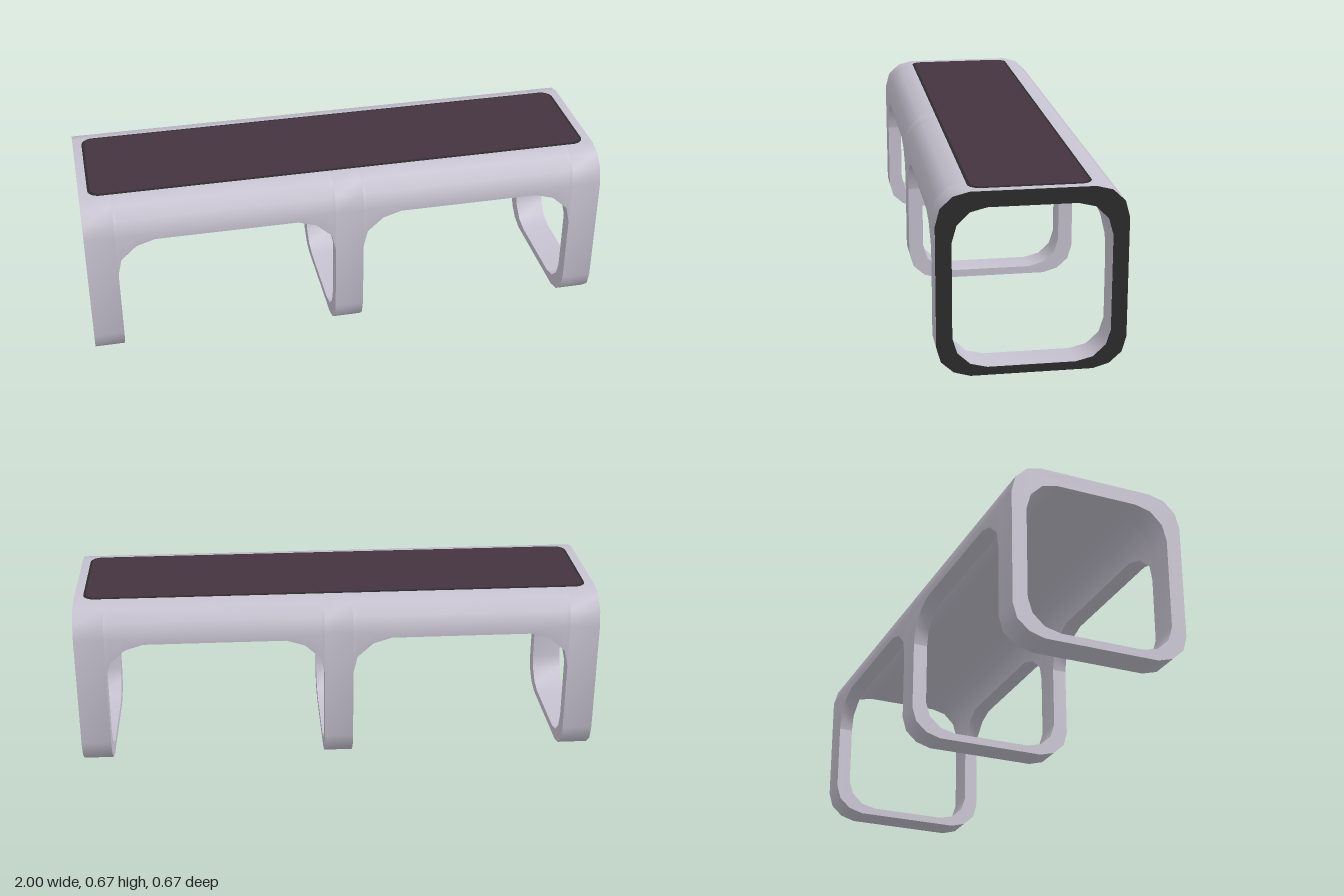
import * as THREE from 'three';
import { toCreasedNormals } from 'three/addons/utils/BufferGeometryUtils.js';

const shellMat = new THREE.MeshStandardMaterial({ color: 0xc6c2d0 });
shellMat.name = 'pale lavender';
const endMat = new THREE.MeshStandardMaterial({ color: 0x2c2c2c });
endMat.name = 'charcoal';
const seatMat = new THREE.MeshStandardMaterial({ color: 0x43343f });
seatMat.name = 'dark plum';
const CREASE = 0.62;

// Half profiles as [z, y], from the bottom up
const OUTER = [[0.215, 0], [0.273, 0.017], [0.317, 0.057], [0.333, 0.113],
  [0.333, 0.55], [0.317, 0.61], [0.273, 0.652], [0.215, 0.667]];
const INNER = [[0.155, 0.03], [0.215, 0.045], [0.26, 0.087], [0.277, 0.142],
  [0.277, 0.49], [0.26, 0.55], [0.215, 0.595], [0.155, 0.61]];
const flip = (half) => half.map(([z, y]) => [-z, y]).reverse();
const toPoints = (list) => list.map(([a, b]) => new THREE.Vector2(a, b));

function ringShape() {
  const shape = new THREE.Shape(toPoints([...OUTER, ...flip(OUTER)]));
  shape.holes.push(new THREE.Path(toPoints([...INNER, ...flip(INNER)])));
  return shape;
}

// Closed rounded frame between two x positions
function ringGeometry(x0, x1) {
  const g = new THREE.ExtrudeGeometry(ringShape(), { depth: x1 - x0, bevelEnabled: false });
  g.rotateY(Math.PI / 2).translate(x0, 0, 0);
  return toCreasedNormals(g, CREASE);
}

// Cross-section of the shell where its walls stop at height h
function sectionAt(h) {
  const innerZ = (y) => (y <= 0.49 ? 0.277 : 0.277 - (0.017 * (y - 0.49)) / 0.06);
  const knee = Math.max(0.49, h);
  const outer = [[0.333, h], ...OUTER.slice(4)];
  const inner = [[innerZ(h), h], [innerZ(knee), knee], ...INNER.slice(5)];
  const innerLoop = [...inner, ...flip(inner)].reverse();
  return [...outer, ...flip(outer), ...innerLoop];
}

// Shell over one arched opening
function spanGeometry(x0, x1) {
  const arch = [[0, 0.385], [0.015, 0.45], [0.075, 0.505], [0.145, 0.527]];
  const stations = [
    ...arch.map(([d, h]) => [x0 + d, h]),
    ...arch.map(([d, h]) => [x1 - d, h]).reverse(),
  ];
  const pos = [];
  const index = [];
  const n = sectionAt(0.4).length;
  stations.forEach(([x, h], i) => {
    sectionAt(h).forEach(([z, y]) => pos.push(x, y, z));
    if (i === stations.length - 1) return;
    for (let j = 0; j < n; j++) {
      const k = (j + 1) % n;
      const a = i * n + j, b = a + n, c = (i + 1) * n + k, d = i * n + k;
      index.push(a, b, c, a, c, d);
    }
  });
  const g = new THREE.BufferGeometry();
  g.setAttribute('position', new THREE.Float32BufferAttribute(pos, 3));
  g.setIndex(index);
  return toCreasedNormals(g, CREASE);
}

// Thin rounded plate lying flat
function plateGeometry(hx, hz, r, y, thickness) {
  const s = new THREE.Shape();
  s.moveTo(hx, hz - r);
  s.absarc(hx - r, hz - r, r, 0, Math.PI / 2);
  s.absarc(r - hx, hz - r, r, Math.PI / 2, Math.PI);
  s.absarc(r - hx, r - hz, r, Math.PI, Math.PI * 1.5);
  s.absarc(hx - r, r - hz, r, Math.PI * 1.5, Math.PI * 2);
  const g = new THREE.ExtrudeGeometry(s, { depth: thickness, bevelEnabled: false, curveSegments: 6 });
  return g.rotateX(-Math.PI / 2).translate(0, y, 0);
}

export function createModel() {
  const model = new THREE.Group();
  model.name = 'bench';
  const add = (name, geometry, material) => {
    const mesh = new THREE.Mesh(geometry, material);
    mesh.name = name;
    model.add(mesh);
  };

  // Three frame legs
  add('rightLegFrame', ringGeometry(-1, -0.885), shellMat);
  add('middleLegFrame', ringGeometry(-0.055, 0.055), shellMat);
  add('leftLegFrame', ringGeometry(0.885, 0.999), shellMat);

  // Arched shells between the legs
  add('rightSpan', spanGeometry(-0.885, -0.055), shellMat);
  add('leftSpan', spanGeometry(0.055, 0.885), shellMat);

  // Dark face on the left end
  const cap = new THREE.ShapeGeometry(ringShape());
  cap.rotateY(Math.PI / 2).translate(1, 0, 0);
  add('endFace', cap, endMat);

  // Seat pad with its dark seam
  add('seatSeam', plateGeometry(0.966, 0.214, 0.045, 0.666, 0.002), endMat);
  add('seatPad', plateGeometry(0.957, 0.205, 0.037, 0.667, 0.003), seatMat);

  return model;
}
